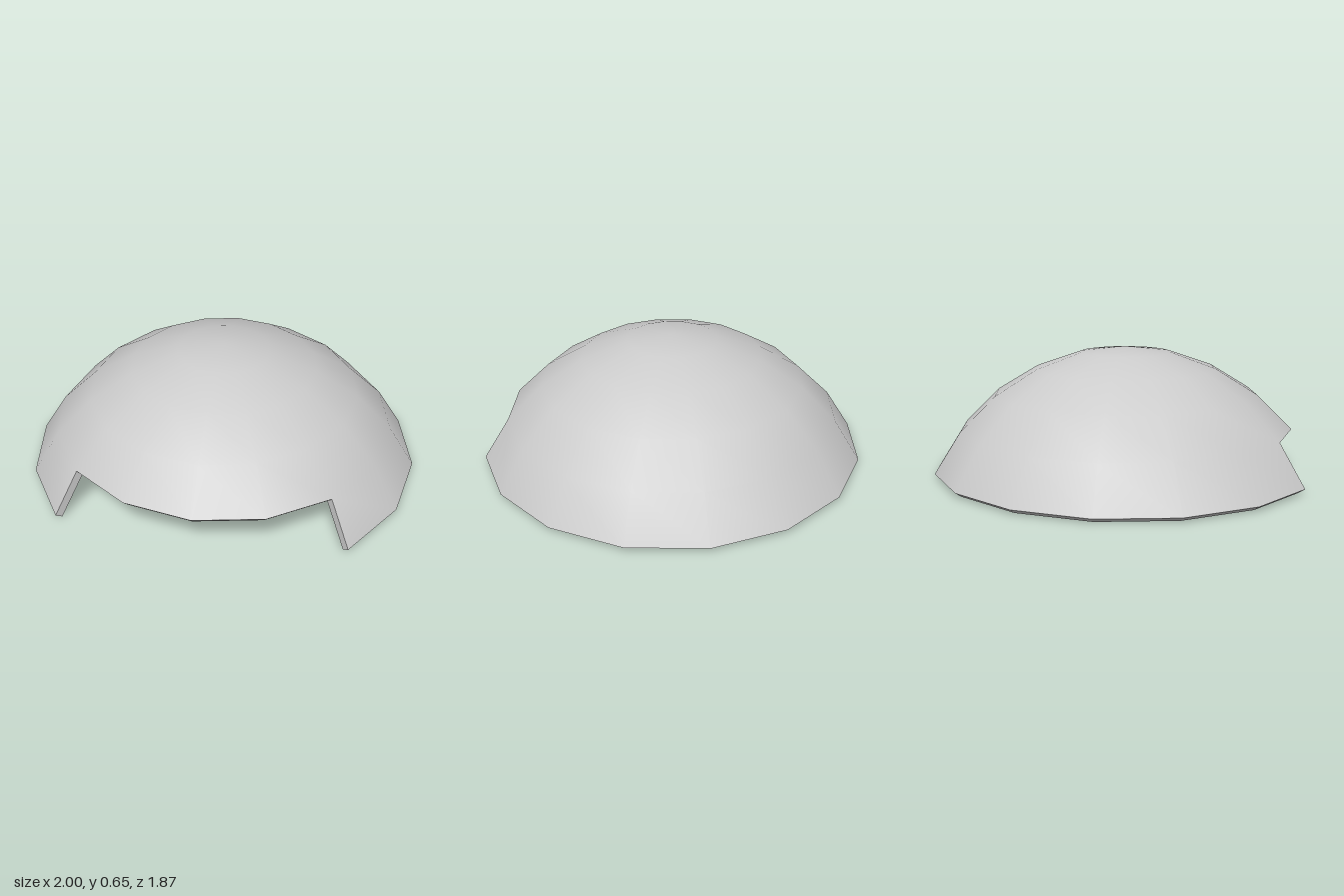
import * as THREE from 'three';
import { mergeGeometries, mergeVertices } from 'three/addons/utils/BufferGeometryUtils.js';

const SIDES = 16;
const STEP = (Math.PI * 2) / SIDES;
const HALF_DOOR = Math.PI / 4; // the doorway spans a quarter turn at the front

// Dome profile as [radius, height], from rim to crown
const DOME = [[1, 0.023], [0.865, 0.235], [0.686, 0.41], [0.472, 0.54], [0.238, 0.622], [0, 0.65]];
// Inner edges of the folded-in lips along the ground and above the doorway
const RIM_LIP = [0.966, 0];
const LINTEL_LIP = [0.835, 0.204];

const toPoints = (list) => list.map(([r, y]) => new THREE.Vector2(r, y));

// Surface of revolution over part of a turn; angle 0 is the front
function sweep(list, start, length) {
  return new THREE.LatheGeometry(toPoints(list), Math.round(length / STEP), start, length);
}

const aroundDoor = (list) => sweep(list, HALF_DOOR, Math.PI * 2 - HALF_DOOR * 2);
const overDoor = (list) => sweep(list, -HALF_DOOR, HALF_DOOR * 2);

// Full crown plus the lowest band, which is left open at the doorway
function domeSkin() {
  const parts = [aroundDoor(DOME.slice(0, 2)), sweep(DOME.slice(1), 0, Math.PI * 2)];
  parts.forEach((g) => {
    g.deleteAttribute('normal');
    g.deleteAttribute('uv');
  });
  const geometry = mergeVertices(mergeGeometries(parts), 1e-4);
  geometry.computeVertexNormals();
  return geometry;
}

export function createModel() {
  const group = new THREE.Group();
  group.name = 'domeShelter';
  const smooth = new THREE.MeshStandardMaterial({ color: 0xcccccc, side: THREE.DoubleSide });
  const flat = new THREE.MeshStandardMaterial({ color: 0xcccccc, flatShading: true, side: THREE.DoubleSide });

  const add = (name, geometry, material) => {
    const mesh = new THREE.Mesh(geometry, material);
    mesh.name = name;
    mesh.position.z = 0.067;
    group.add(mesh);
    return mesh;
  };

  // Single thin skin, seen from outside and inside
  add('domeShell', domeSkin(), smooth);

  // Lips folded inward along the ground and above the doorway
  add('bottomRim', aroundDoor([RIM_LIP, DOME[0]]), flat);
  add('doorLintel', overDoor([LINTEL_LIP, DOME[1]]), flat);

  // Upright lips on both sides of the doorway
  const jamb = new THREE.ShapeGeometry(new THREE.Shape(toPoints([DOME[0], DOME[1], LINTEL_LIP, RIM_LIP])));
  for (const [name, angle] of [['leftDoorJamb', HALF_DOOR], ['rightDoorJamb', -HALF_DOOR]]) {
    add(name, jamb, flat).rotation.y = angle - Math.PI / 2;
  }
  return group;
}
